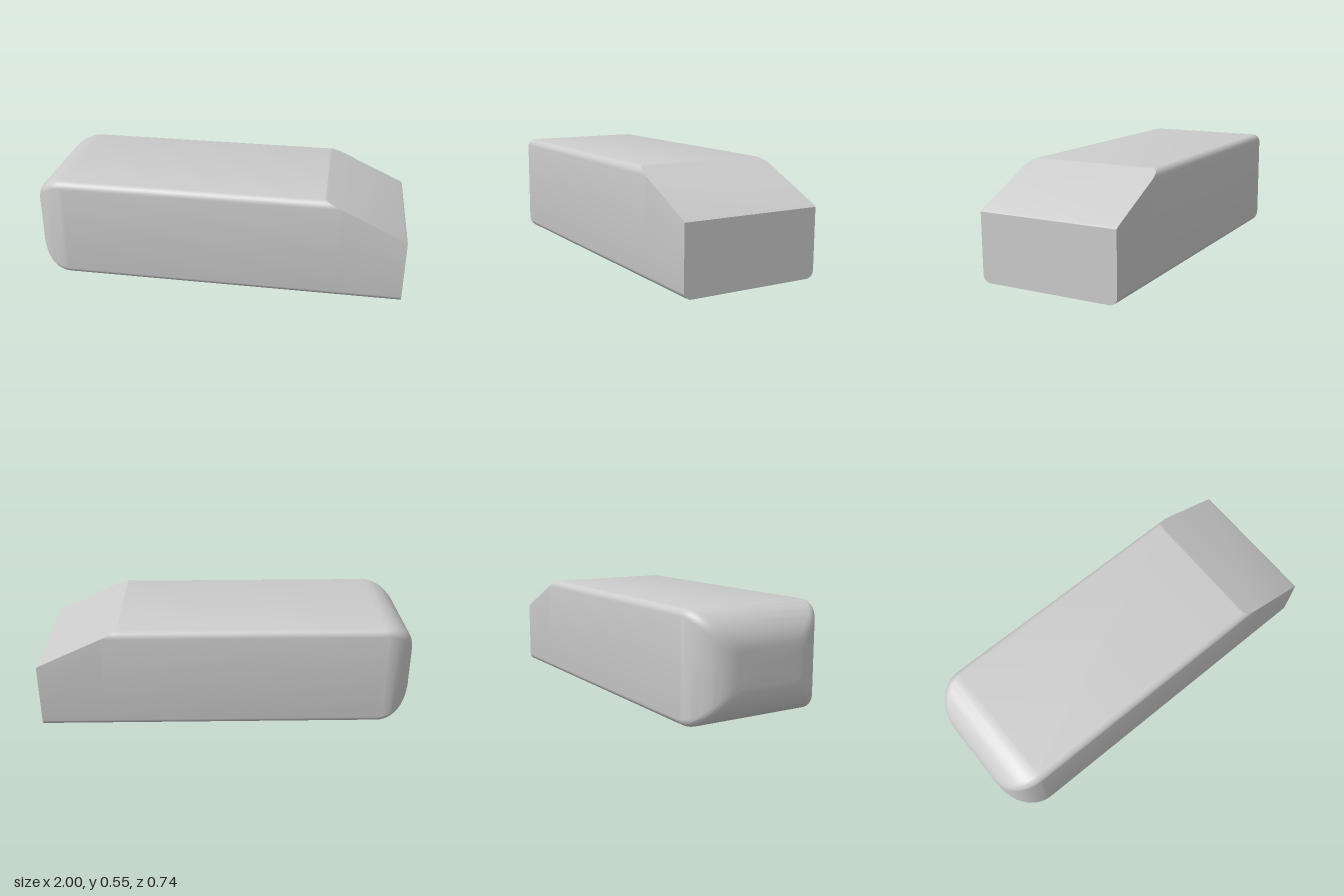
import * as THREE from 'three';
import { toCreasedNormals } from 'three/addons/utils/BufferGeometryUtils.js';

const HALF_W = 0.372, HEIGHT = 0.553, CORNER = 0.04, NOSE = 0.19;
const SLOPE_START = 0.575, SLOPE_END = 0.987, STEPS = 8;

// Height of the sloped cut above a given x, with a tiny bevel at the flat end
function cutHeight(x) {
  if (x <= SLOPE_START) return HEIGHT;
  if (x <= SLOPE_END) return HEIGHT - (x - SLOPE_START) * 0.463;
  return 0.362 - (x - SLOPE_END) * 0.75;
}

// Rounded rectangle across the body, counterclockwise as seen from +x
function section(x) {
  const t = Math.max(0, (NOSE - 1 - x) / NOSE);
  const inset = NOSE * (1 - Math.sqrt(Math.max(0, 1 - t * t)));
  const hw = HALF_W - inset, hh = HEIGHT / 2 - inset, r = CORNER;
  const cut = cutHeight(x);
  const points = [];
  for (let q = 0; q < 4; q++) {
    const sx = q === 0 || q === 3 ? 1 : -1, sy = q < 2 ? 1 : -1;
    for (let s = 0; s <= STEPS; s++) {
      const a = (q + s / STEPS) * Math.PI / 2;
      let u = sx * (hw - r) + r * Math.cos(a);
      let y = HEIGHT / 2 + sy * (hh - r) + r * Math.sin(a);
      if (y > cut) {
        // Slide clipped corner points down the rounded edge onto the cut
        const d = Math.max(0, cut - (HEIGHT - r));
        u = sx * (hw - r + Math.sqrt(Math.max(0, r * r - d * d)));
        y = cut;
      }
      points.push(new THREE.Vector3(x, y, -u));
    }
  }
  return points;
}

function bodyGeometry() {
  // Stations along the length: rounded end, start of slope, flat end
  const xs = [];
  for (let i = 0; i <= 14; i++) xs.push(-1 + NOSE * (1 - Math.cos(i / 14 * Math.PI / 2)));
  for (let i = 0; i <= 10; i++) xs.push(SLOPE_START + i / 10 * CORNER / 0.463);
  xs.push(SLOPE_END, 1);
  const rows = xs.map(section);
  const positions = [];
  const tri = (a, b, c) => {
    const area = b.clone().sub(a).cross(c.clone().sub(a)).length();
    if (area > 1e-9) for (const p of [a, b, c]) positions.push(p.x, p.y, p.z);
  };
  const n = rows[0].length, last = rows[rows.length - 1];
  for (let i = 0; i < rows.length - 1; i++) {
    for (let j = 0; j < n; j++) {
      const k = (j + 1) % n, p = rows[i], q = rows[i + 1];
      tri(p[j], p[k], q[j]);
      tri(p[k], q[k], q[j]);
    }
  }
  // End caps
  const backCentre = new THREE.Vector3(-1, HEIGHT / 2, 0);
  const frontCentre = new THREE.Vector3(1, 0.2, 0);
  for (let j = 0; j < n; j++) {
    const k = (j + 1) % n;
    tri(backCentre, rows[0][k], rows[0][j]);
    tri(frontCentre, last[j], last[k]);
  }
  const geometry = new THREE.BufferGeometry();
  geometry.setAttribute('position', new THREE.Float32BufferAttribute(positions, 3));
  return toCreasedNormals(geometry, 0.36);
}

export function createModel() {
  const group = new THREE.Group();
  group.name = 'roundedWedgeBlock';
  const body = new THREE.Mesh(bodyGeometry(), new THREE.MeshStandardMaterial({ color: 0xcccccc }));
  body.name = 'body';
  group.add(body);
  return group;
}
